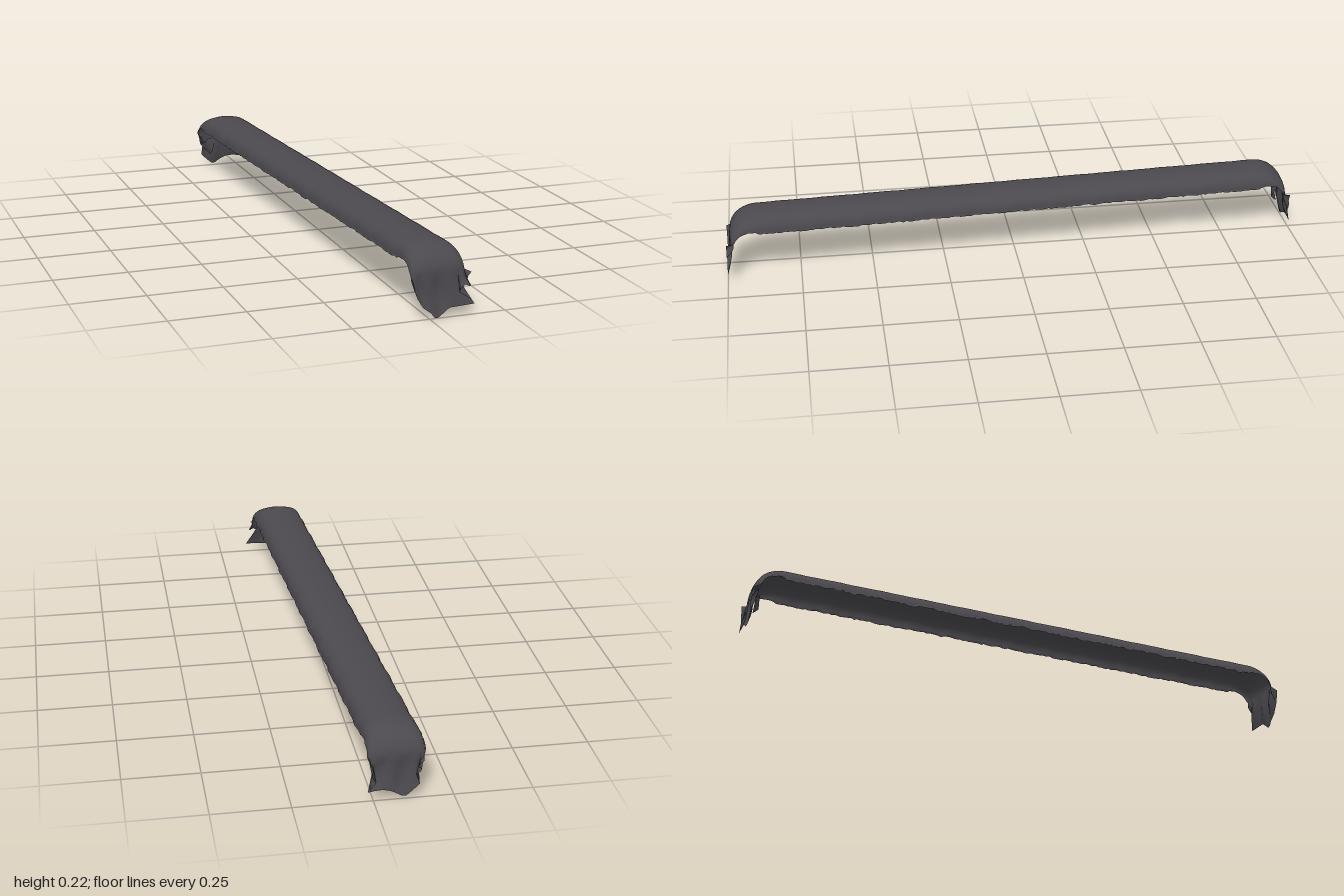
import * as THREE from 'three';

const COLS = 24;      // steps across the cloth
const FLAT = 0.88;    // half length before the bend
const TOP = 0.229;

// small repeatable noise source
function makeRandom(seed) {
  return () => {
    seed = (seed * 16807) % 2147483647;
    return seed / 2147483647;
  };
}

// arched cross-section: x offset and drop below the crest
const half = [[0.088, 0.062], [0.087, 0.045], [0.08, 0.028], [0.064, 0.013], [0.035, 0.004]];
const profile = new THREE.CatmullRomCurve3([
  ...half.map(([x, d]) => new THREE.Vector3(-x, d, 0)),
  new THREE.Vector3(0, 0, 0),
  ...half.slice().reverse().map(([x, d]) => new THREE.Vector3(x, d, 0)),
]);

// torn hems of the hanging ends as [x, y], from -x to +x
const frontHem = [
  [-0.054, 0.125], [-0.045, 0.085], [-0.038, 0.07], [-0.02, 0.042], [0.005, 0.025], [0.02, 0.002],
  [0.045, 0.02], [0.065, 0.036], [0.11, 0.038], [0.16, 0.04], [0.09, 0.085], [0.115, 0.105],
  [0.14, 0.092], [0.118, 0.125], [0.135, 0.142],
];
const backHem = [
  [-0.155, 0.13], [-0.135, 0.115], [-0.153, 0.1], [-0.13, 0.085], [-0.145, 0.055], [-0.125, 0.035],
  [-0.096, 0.01], [-0.075, 0.024], [-0.05, 0.038], [-0.015, 0.042], [0.02, 0.035], [-0.01, 0.065],
  [0.008, 0.09], [-0.002, 0.11], [0.012, 0.135],
];

function hemPoint(hem, u, end) {
  const f = u * (hem.length - 1);
  const i = Math.min(Math.floor(f), hem.length - 2);
  const [a, b] = [hem[i], hem[i + 1]];
  return new THREE.Vector3(
    THREE.MathUtils.lerp(a[0], b[0], f - i),
    THREE.MathUtils.lerp(a[1], b[1], f - i),
    end * 0.999);
}

// one arched row; angle tips it over the rounded end
function archRow(z, angle, end, rand) {
  const row = [];
  const fade = 1 - 0.7 * angle / (Math.PI / 2);
  const tear = [rand() * 0.007, rand() * 0.007];
  const wave = Math.sin(z * 37) * 0.0015 + Math.sin(z * 83) * 0.001;
  for (let c = 0; c <= COLS; c++) {
    const p = profile.getPoint(c / COLS);
    const side = Math.abs(p.x) / 0.088;
    const edge = c === 0 ? tear[0] : c === COLS ? tear[1] : 0;
    const depth = (p.y - edge) * fade;
    const crestZ = angle ? end * (FLAT + 0.108 * Math.sin(angle)) : z;
    const crestY = TOP - 0.085 * (1 - Math.cos(angle));
    row.push(new THREE.Vector3(
      -0.02 + 0.056 * crestZ + p.x + side * side * wave + Math.sign(p.x) * edge * 0.6,
      crestY - depth * Math.cos(angle),
      crestZ - end * depth * Math.sin(angle)));
  }
  return row;
}

// bend and torn hanging flap at one end, ordered outward
function endRows(end, hem, rand) {
  const rows = [];
  for (let i = 1; i <= 10; i++) rows.push(archRow(0, i / 10 * Math.PI / 2, end, rand));
  const start = rows[rows.length - 1];
  for (let j = 1; j <= 6; j++) {
    const t = j / 6;
    rows.push(start.map((p, c) => {
      const q = p.clone().lerp(hemPoint(hem, c / COLS, end), t);
      q.z -= end * 0.006 * Math.sin(t * Math.PI) * (1 + Math.sin(c * 1.3));
      return q;
    }));
  }
  return rows;
}

// smooth sheet through a list of rows
function sheet(rows) {
  const n = rows[0].length;
  const index = [];
  for (let r = 0; r < rows.length - 1; r++) {
    for (let c = 0; c < n - 1; c++) {
      const a = r * n + c, b = a + n;
      index.push(a, b, a + 1, a + 1, b, b + 1);
    }
  }
  const geometry = new THREE.BufferGeometry().setFromPoints(rows.flat());
  geometry.setIndex(index);
  geometry.computeVertexNormals();
  return geometry;
}

export function createModel() {
  const group = new THREE.Group();
  group.name = 'drapedCloth';
  const cloth = new THREE.MeshStandardMaterial({ color: 0x4b494e, side: THREE.DoubleSide });
  cloth.name = 'charcoal cloth';
  const rand = makeRandom(4711);

  // long strip with both ends folded down
  const rows = endRows(-1, backHem, rand).reverse();
  const steps = 170;
  for (let i = 0; i <= steps; i++) {
    rows.push(archRow(FLAT * (2 * i / steps - 1), 0, 1, rand));
  }
  rows.push(...endRows(1, frontHem, rand));
  const strip = new THREE.Mesh(sheet(rows), cloth);
  strip.name = 'clothStrip';
  group.add(strip);

  // curled scrap inside the back flap
  const scrap = new THREE.Mesh(sheet([
    [new THREE.Vector3(-0.15, 0.1, -0.985), new THREE.Vector3(-0.11, 0.055, -0.985)],
    [new THREE.Vector3(-0.135, 0.11, -0.97), new THREE.Vector3(-0.105, 0.075, -0.965)],
    [new THREE.Vector3(-0.12, 0.125, -0.975), new THREE.Vector3(-0.092, 0.115, -0.98)],
  ]), cloth);
  scrap.name = 'curledScrap';
  group.add(scrap);

  return group;
}
